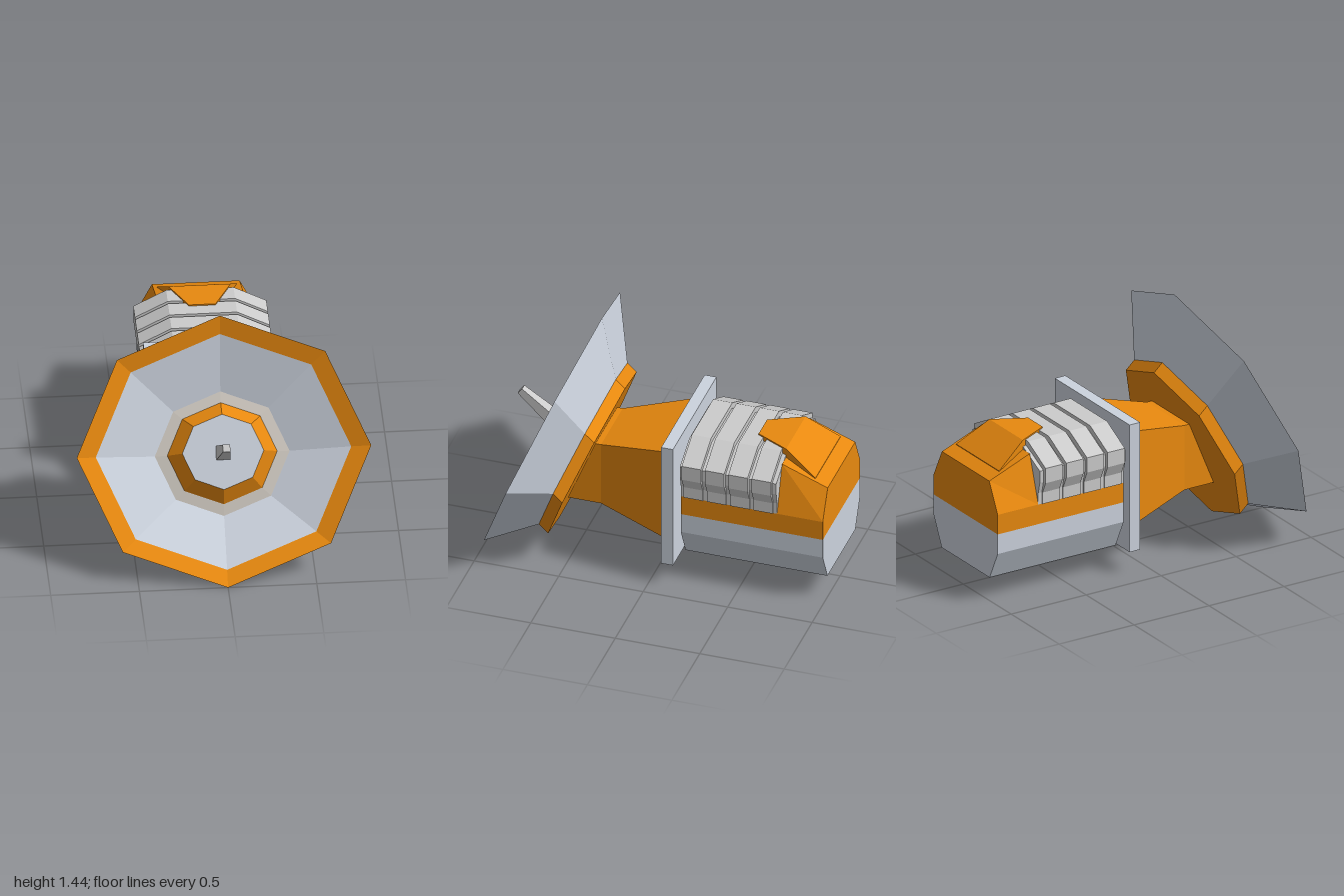
import * as THREE from 'three';

const paint = (color) => new THREE.MeshStandardMaterial({ color, flatShading: true, side: THREE.DoubleSide });

// Skin between loops of [x, y, z]; loops run counter-clockwise seen from +z.
function loft(name, material, loops, capBack = true, capFront = true) {
  const pos = [];
  const tri = (a, b, c) => pos.push(...a, ...b, ...c);
  const n = loops[0].length;
  for (let k = 0; k < loops.length - 1; k++) {
    const p = loops[k], q = loops[k + 1];
    for (let i = 0; i < n; i++) {
      const j = (i + 1) % n;
      tri(p[i], p[j], q[j]);
      tri(p[i], q[j], q[i]);
    }
  }
  const cap = (loop, flip) => {
    const mid = [0, 1, 2].map((c) => loop.reduce((s, v) => s + v[c], 0) / n);
    loop.forEach((v, i) => {
      const w = loop[(i + 1) % n];
      if (flip) tri(mid, w, v); else tri(mid, v, w);
    });
  };
  if (capBack) cap(loops[0], true);
  if (capFront) cap(loops[loops.length - 1], false);
  const geometry = new THREE.BufferGeometry();
  geometry.setAttribute('position', new THREE.Float32BufferAttribute(pos, 3));
  geometry.computeVertexNormals();
  const mesh = new THREE.Mesh(geometry, material);
  mesh.name = name;
  return mesh;
}

// Mirrored cross-section from its right half [halfWidth, y], listed bottom to top.
function section(half, z, cx = 0) {
  const right = half.map(([x, y]) => [cx + x, y, z]);
  const left = half.map(([x, y]) => [cx - x, y, z]).reverse();
  return [...right, ...left];
}

// Tilted octagon, slightly flattened, centred at (0, y, z).
function octagon(r, y, z) {
  return Array.from({ length: 8 }, (_, i) => {
    const a = (i * Math.PI) / 4;
    const up = 0.94 * r * Math.sin(a);
    return [r * Math.cos(a), y + 0.925 * up, z - 0.379 * up];
  });
}

export function createModel() {
  const model = new THREE.Group();
  model.name = 'dishAntenna';
  const orange = paint(0xe8890f);
  const paleGrey = paint(0xccd3de);
  const grey = paint(0xcccccc);
  const beige = paint(0xccc6be);

  // Dish: back plate, outer shell, rim, bowl, floor and raised hub
  const dish = new THREE.Group();
  dish.name = 'dish';
  const plateBack = octagon(0.54, 0.53, 0.465);
  const plateFront = octagon(0.54, 0.58, 0.52);
  const rimOuter = octagon(0.83, 0.725, 0.705);
  const rimInner = octagon(0.72, 0.70, 0.67);
  const floorEdge = octagon(0.38, 0.625, 0.575);
  const hubBase = octagon(0.31, 0.63, 0.58);
  const hubTop = octagon(0.23, 0.68, 0.64);
  dish.add(
    loft('dishBackPlate', orange, [plateBack, plateFront], true, false),
    loft('dishShell', paleGrey, [plateFront, rimOuter], false, false),
    loft('dishRim', orange, [rimOuter, rimInner], false, false),
    loft('dishBowl', paleGrey, [rimInner, floorEdge], false, false),
    loft('dishFloor', beige, [floorEdge, hubBase], false, false),
    loft('hubSide', orange, [hubBase, hubTop], false, false),
    loft('hubCap', paleGrey, [hubTop, octagon(0.01, 0.68, 0.64)], false, true),
  );

  // Tapered feed prong rising from the hub
  const prongLoop = (h, y, z) => [[-1, -1], [1, -1], [1, 1], [-1, 1]]
    .map(([sx, sy]) => [sx * h, y + sy * h * 0.785, z - sy * h * 0.62]);
  dish.add(loft('feedProng', grey, [prongLoop(0.04, 0.675, 0.64), prongLoop(0.021, 0.87, 0.888)]));
  model.add(dish);

  // Neck, tapering from the plate and ending on the slanted dish back
  const neckLoop = (w, y0, y1, z0, z1) => [[-w, y0, z0], [w, y0, z0], [w, y1, z1], [-w, y1, z1]];
  model.add(loft('neck', orange, [
    neckLoop(0.295, 0.24, 0.83, -0.08, -0.08),
    neckLoop(0.195, 0.335, 0.73, 0.35, 0.35),
    neckLoop(0.195, 0.335, 0.73, 0.56, 0.42),
  ]));

  // Square mounting plate
  const plate = new THREE.Mesh(new THREE.BoxGeometry(0.78, 0.78, 0.07), paleGrey);
  plate.name = 'mountingPlate';
  plate.position.set(0, 0.53, -0.105);
  model.add(plate);

  // Housing: grey lower half, orange band and sloping orange rear
  const cx = -0.025;
  const body = new THREE.Group();
  body.name = 'housing';
  const extrude = (name, material, half, back, front) =>
    loft(name, material, [section(half, back, cx), section(half, front, cx)]);
  const rearHalf = (top) => [[0.335, 0.44], [0.335, 0.56], [0.247, top]];
  body.add(
    extrude('lowerHousing', paleGrey, [[0.25, 0.145], [0.335, 0.32], [0.335, 0.44]], -1, -0.16),
    extrude('sideBand', orange, [[0.335, 0.44], [0.335, 0.56]], -0.73, -0.16),
    loft('rearHousing', orange, [section(rearHalf(0.735), -1, cx), section(rearHalf(0.84), -0.73, cx)]),
  );

  // Ribbed upper housing
  body.add(extrude('ribCore', grey,
    [[0.335, 0.56], [0.335, 0.63], [0.352, 0.70], [0.352, 0.77], [0.18, 0.855]], -0.73, -0.16));
  const rib = [[0.342, 0.56], [0.342, 0.63], [0.375, 0.70], [0.375, 0.79], [0.19, 0.888]];
  for (let i = 0; i < 4; i++) {
    const z = -0.235 - i * 0.138;
    body.add(extrude('rib', grey, rib, z - 0.057, z + 0.057));
  }

  // Hood lapping over the last ribs
  body.add(loft('hood', orange, [
    section([[0.225, 0.74], [0.225, 0.77]], -0.92, cx),
    section([[0.175, 0.83], [0.175, 0.896]], -0.73, cx),
    section([[0.075, 0.875], [0.075, 0.896]], -0.535, cx),
  ]));
  model.add(body);

  return model;
}
